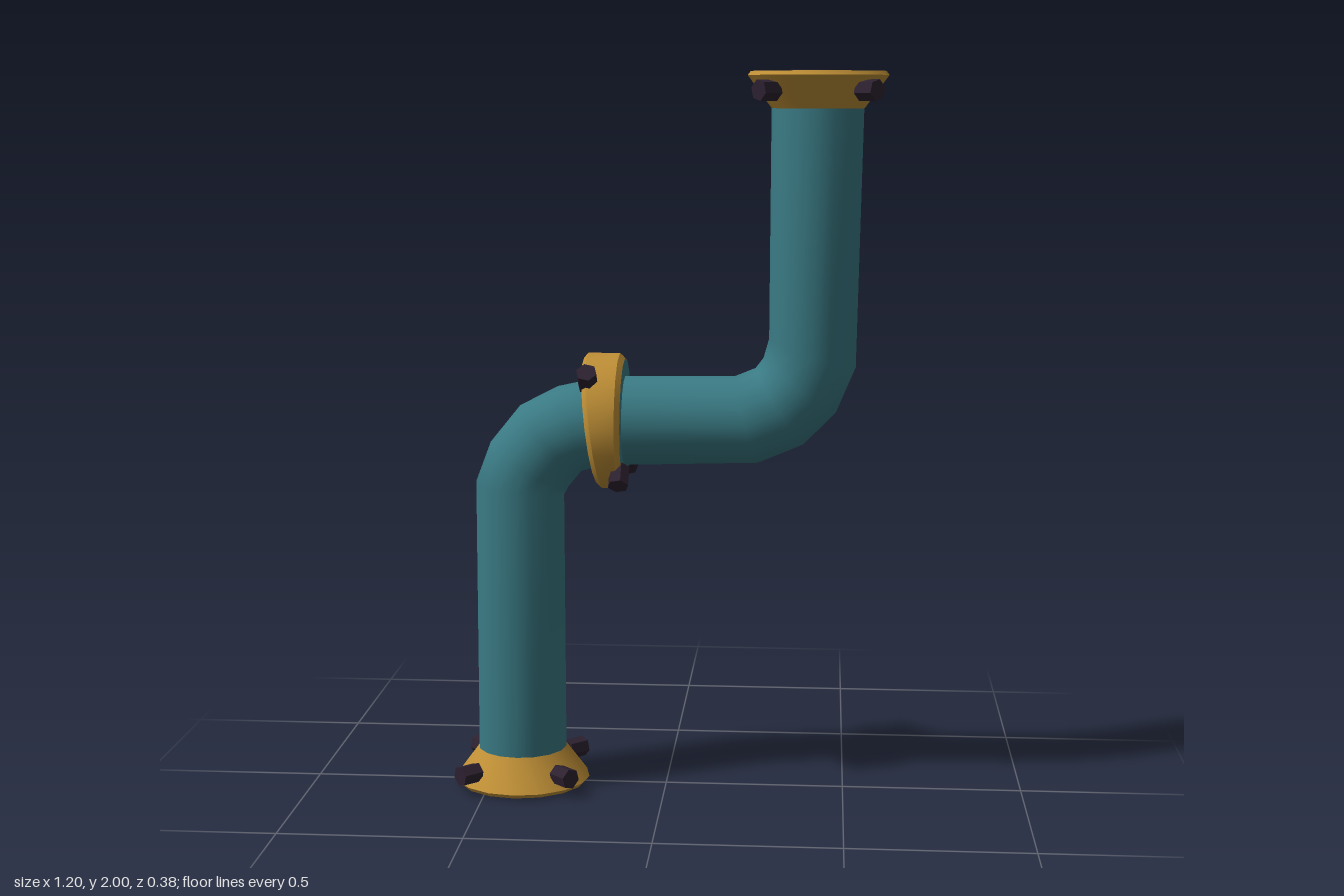
import * as THREE from 'three';
import { toCreasedNormals } from 'three/addons/utils/BufferGeometryUtils.js';

const mat = (name, color) => Object.assign(new THREE.MeshStandardMaterial({ color }), { name });
const SIDES = 16;

// Sweeps a circle along rings given as [x, y, heading in degrees] in the z = 0 plane
function sweepPipe(rings, radius) {
  const pos = [], index = [];
  rings.forEach(([x, y, deg], i) => {
    const a = THREE.MathUtils.degToRad(deg);
    for (let j = 0; j < SIDES; j++) {
      const t = (j / SIDES) * Math.PI * 2;
      const c = Math.cos(t) * radius;
      pos.push(x - Math.sin(a) * c, y + Math.cos(a) * c, Math.sin(t) * radius);
      if (i === 0) continue;
      const k = (j + 1) % SIDES, p = (i - 1) * SIDES, q = i * SIDES;
      index.push(p + j, p + k, q + k, p + j, q + k, q + j);
    }
  });
  const geo = new THREE.BufferGeometry();
  geo.setAttribute('position', new THREE.Float32BufferAttribute(pos, 3));
  geo.setIndex(index);
  geo.computeVertexNormals();
  return geo;
}

const lathe = (points) =>
  new THREE.LatheGeometry(points.map(([r, y]) => new THREE.Vector2(r, y)), SIDES);

// Collar profile turned onto the x axis, with its left side slanted to follow the bend
function wedge(points) {
  const geo = lathe(points).rotateZ(-Math.PI / 2);
  const p = geo.attributes.position;
  for (let i = 0; i < p.count; i++) {
    if (p.getX(i) < -0.16) p.setX(i, p.getX(i) - 0.115 * p.getY(i));
  }
  return toCreasedNormals(geo, 0.5);
}

export function createModel() {
  const teal = mat('teal pipe', 0x3a7a84);
  const brass = mat('brass', 0xbf8f36);
  const dark = mat('dark metal', 0x2d2130);
  const model = new THREE.Group();
  model.name = 'bentPipe';

  const add = (parent, name, geo, material) => {
    const mesh = new THREE.Mesh(geo, material);
    mesh.name = name;
    parent.add(mesh);
    return mesh;
  };

  // Four hexagonal bolts pointing outward around a local y axis
  const boltGeo = toCreasedNormals(new THREE.CylinderGeometry(0.029, 0.029, 0.06, 6), 0.4);
  function addBolts(parent, height) {
    for (let i = 0; i < 4; i++) {
      const a = Math.PI / 4 + (i * Math.PI) / 2;
      const dir = new THREE.Vector3(Math.cos(a), 0, Math.sin(a));
      const bolt = add(parent, 'bolt', boltGeo, dark);
      bolt.position.copy(dir).multiplyScalar(0.19).setY(height(dir.x));
      bolt.quaternion.setFromUnitVectors(new THREE.Vector3(0, 1, 0), dir);
    }
  }

  // Pipe: riser, elbow, crossing, elbow, riser
  add(model, 'pipe', sweepPipe([
    [-0.41, 0.05, 90], [-0.41, 0.848, 82], [-0.383, 0.915, 60], [-0.322, 0.99, 43],
    [-0.25, 1.022, 24], [-0.16, 1.04, 5], [0.222, 1.048, 15], [0.313, 1.086, 32],
    [0.368, 1.145, 53], [0.402, 1.235, 72], [0.41, 1.95, 90],
  ], 0.125), teal);

  // End flanges with bore and bolts
  const flangeGeo = toCreasedNormals(
    lathe([[0, 0.003], [0.182, 0.003], [0.19, 0.014], [0.125, 0.102], [0.1, 0.102]]), 0.5);
  const boreGeo = new THREE.CylinderGeometry(0.076, 0.076, 0.006, 20).translate(0, 0.003, 0);
  for (const [name, x, y, turn] of [['bottomFlange', -0.41, 0, 0], ['topFlange', 0.41, 2, Math.PI]]) {
    const flange = new THREE.Group();
    flange.name = name;
    add(flange, 'flangeBody', flangeGeo, brass);
    add(flange, 'bore', boreGeo, dark);
    addBolts(flange, () => 0.054);
    flange.position.set(x, y, 0);
    flange.rotation.z = turn;
    model.add(flange);
  }

  // Middle collar: brass band around a teal core
  const collar = new THREE.Group();
  collar.name = 'collar';
  add(collar, 'band', wedge([[0.175, -0.208], [0.19, -0.194], [0.19, -0.128], [0.175, -0.114]]), brass);
  add(collar, 'core', wedge([[0, -0.208], [0.175, -0.208], [0.175, -0.114], [0, -0.114]]), teal);
  const bolts = new THREE.Group();
  bolts.name = 'collarBolts';
  addBolts(bolts, (up) => -0.162 + 0.06 * up);
  bolts.rotation.z = -Math.PI / 2;
  collar.add(bolts);
  collar.position.y = 1.04;
  model.add(collar);

  return model;
}
